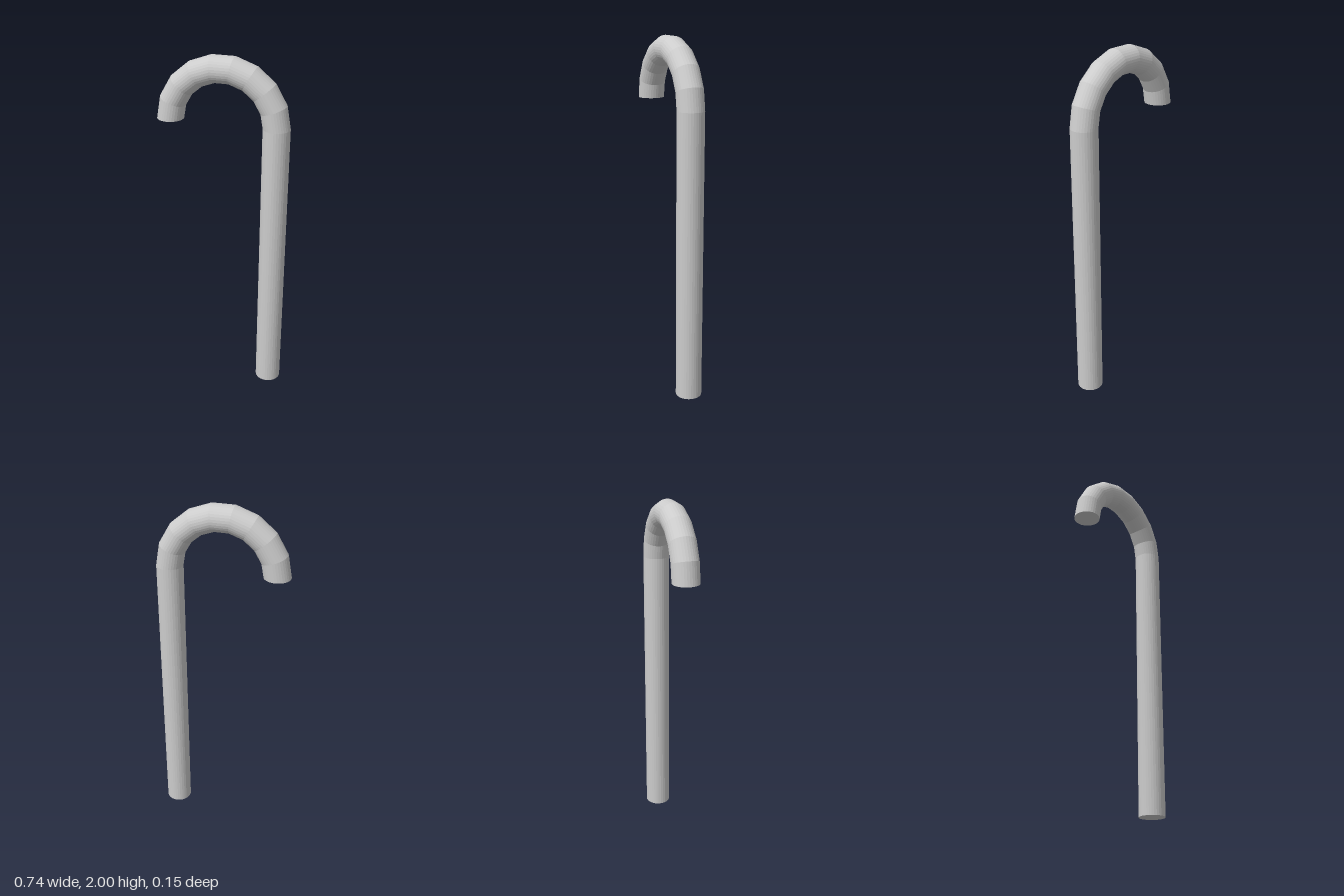
import * as THREE from 'three';

const SIDES = 32;       // sides around the tube
const TUBE = 0.074;     // tube radius
const BEND = 0.296;     // centreline radius of the hook
const HOOK_Y = 1.636;   // height where the hook begins
const HOOK_STEPS = 9;   // straight segments in the hook

export function createModel() {
  const cane = new THREE.Group();
  cane.name = 'cane';
  const material = new THREE.MeshStandardMaterial({ color: 0xcccccc, flatShading: true });

  const add = (name, geometry, x, y) => {
    const mesh = new THREE.Mesh(geometry, material);
    mesh.name = name;
    mesh.position.set(x, y, 0);
    cane.add(mesh);
  };

  // straight shaft, open where it meets the hook
  add('shaft', new THREE.CylinderGeometry(TUBE, TUBE, HOOK_Y, SIDES, 1, true), BEND, HOOK_Y / 2);

  // half-circle hook made of faceted segments
  add('hook', new THREE.TorusGeometry(BEND, TUBE, SIDES, HOOK_STEPS, Math.PI), 0, HOOK_Y);

  // flat end caps, both facing down
  const cap = () => new THREE.CircleGeometry(TUBE, SIDES).rotateX(Math.PI / 2);
  add('footCap', cap(), BEND, 0);
  add('tipCap', cap(), -BEND, HOOK_Y);

  return cane;
}
